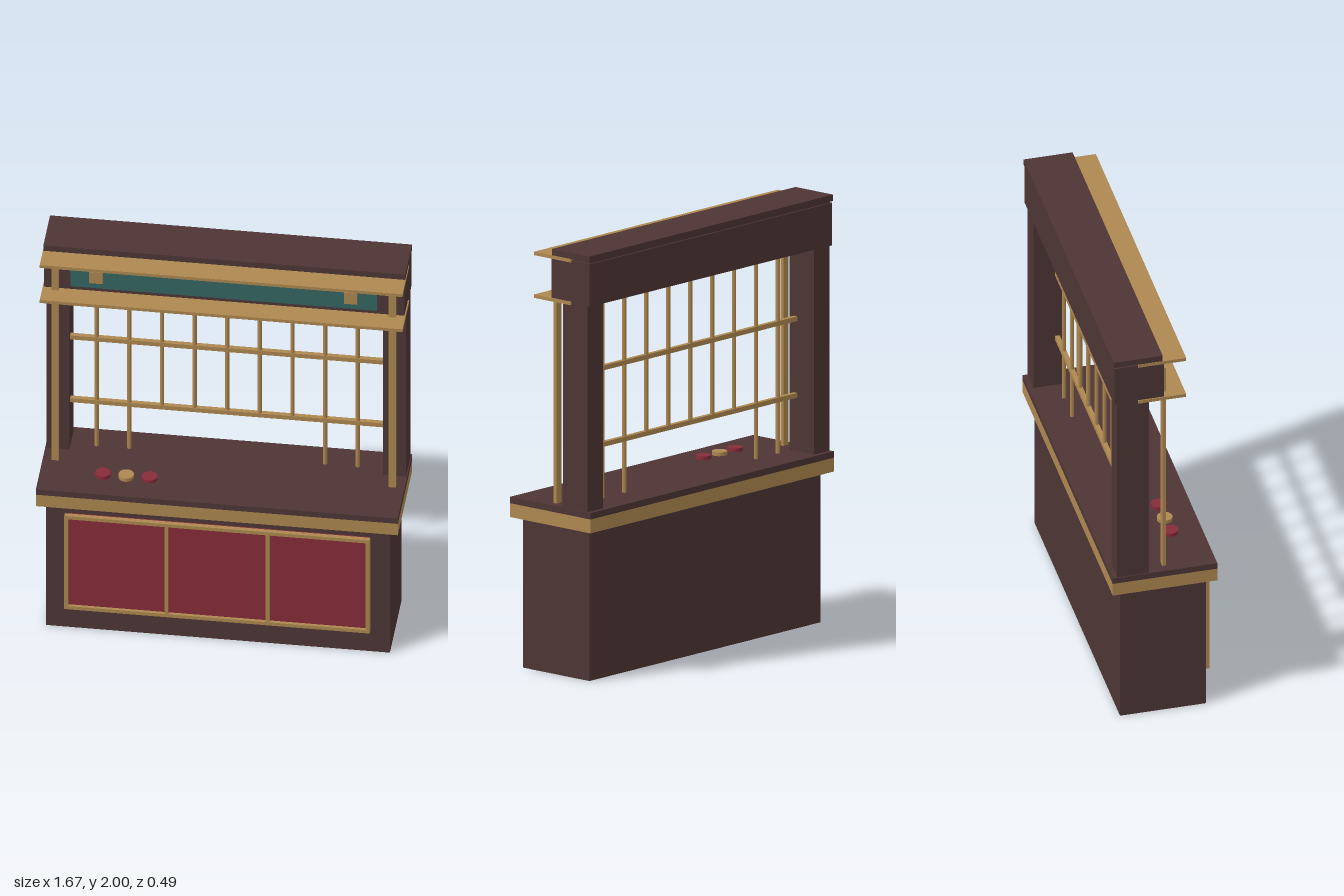
import * as THREE from 'three';

const mat = (name, color) => {
  const m = new THREE.MeshStandardMaterial({ color });
  m.name = name;
  return m;
};

export function createModel() {
  const wood = mat('dark wood', 0x4e3535);
  const brass = mat('brass', 0xae8850);
  const red = mat('red panel', 0x882c3a);
  const teal = mat('teal sign', 0x346662);

  const root = new THREE.Group();
  root.name = 'tellerBooth';

  const add = (name, geometry, material) => {
    const mesh = new THREE.Mesh(geometry, material);
    mesh.name = name;
    root.add(mesh);
    return mesh;
  };
  // Box given by its extents along each axis
  const box = (name, material, [x0, x1], [y0, y1], [z0, z1]) =>
    add(name, new THREE.BoxGeometry(x1 - x0, y1 - y0, z1 - z0), material)
      .position.set((x0 + x1) / 2, (y0 + y1) / 2, (z0 + z1) / 2);
  const wide = (w) => [-w, w];
  const around = (c, h) => [c - h, c + h];

  // Base cabinet and counter
  box('baseCabinet', wood, wide(0.79), [0, 0.705], [-0.2, 0.205]);
  box('counterTrim', brass, wide(0.832), [0.705, 0.77], [-0.245, 0.247]);
  box('counterTop', wood, wide(0.832), [0.77, 0.8], [-0.245, 0.247]);

  // Front panel with brass frame and dividers
  box('frontPanel', red, wide(0.69), [0.137, 0.65], [0.205, 0.228]);
  const frameZ = [0.222, 0.243];
  for (const y of [0.137, 0.65]) box('frameRail', brass, wide(0.702), around(y, 0.009), frameZ);
  for (const x of [-0.693, -0.233, 0.233, 0.693])
    box('frameStile', brass, around(x, 0.009), [0.146, 0.641], frameZ);

  // Posts, brass pilasters and sign studs, mirrored
  for (const s of [-1, 1]) {
    box('sidePost', wood, around(s * 0.774, 0.053), [0.8, 1.765], [-0.223, -0.073]);
    box('pilaster', brass, around(s * 0.775, 0.017), [0.8, 1.9], [-0.002, 0.016]);
    box('signStud', brass, around(s * 0.585, 0.031), [1.834, 1.897], [0.01, 0.027]);
  }

  // Header, cap, ledges and sign
  box('header', wood, wide(0.829), [1.763, 1.962], [-0.237, -0.004]);
  box('headerCore', wood, wide(0.82), [1.962, 1.97], [-0.228, -0.012]);
  box('cap', wood, wide(0.832), [1.97, 2], [-0.24, -0.01]);
  for (const y of [1.762, 1.962])
    box('ledge', brass, wide(0.834), around(y, 0.008), [-0.125, 0.1]);
  box('sign', teal, wide(0.705), [1.797, 1.925], [-0.004, 0.012]);

  // Grille: two rails and nine bars, the middle five shorter
  const grilleZ = -0.11;
  for (const y of [1.42, 1.062])
    box('grilleRail', brass, wide(0.722), around(y, 0.011), around(grilleZ, 0.011));
  for (let i = -4; i <= 4; i++) {
    const bottom = Math.abs(i) > 2 ? 0.81 : 1.06, top = 1.757;
    add('grilleBar', new THREE.CylinderGeometry(0.01, 0.01, top - bottom, 8), brass)
      .position.set(i * 0.15, (top + bottom) / 2, grilleZ);
  }

  // Tokens on the counter
  [[-0.543, red], [-0.436, brass], [-0.328, red]].forEach(([x, material]) =>
    add('token', new THREE.CylinderGeometry(0.036, 0.036, 0.018, 14), material)
      .position.set(x, 0.809, 0.1));

  return root;
}
